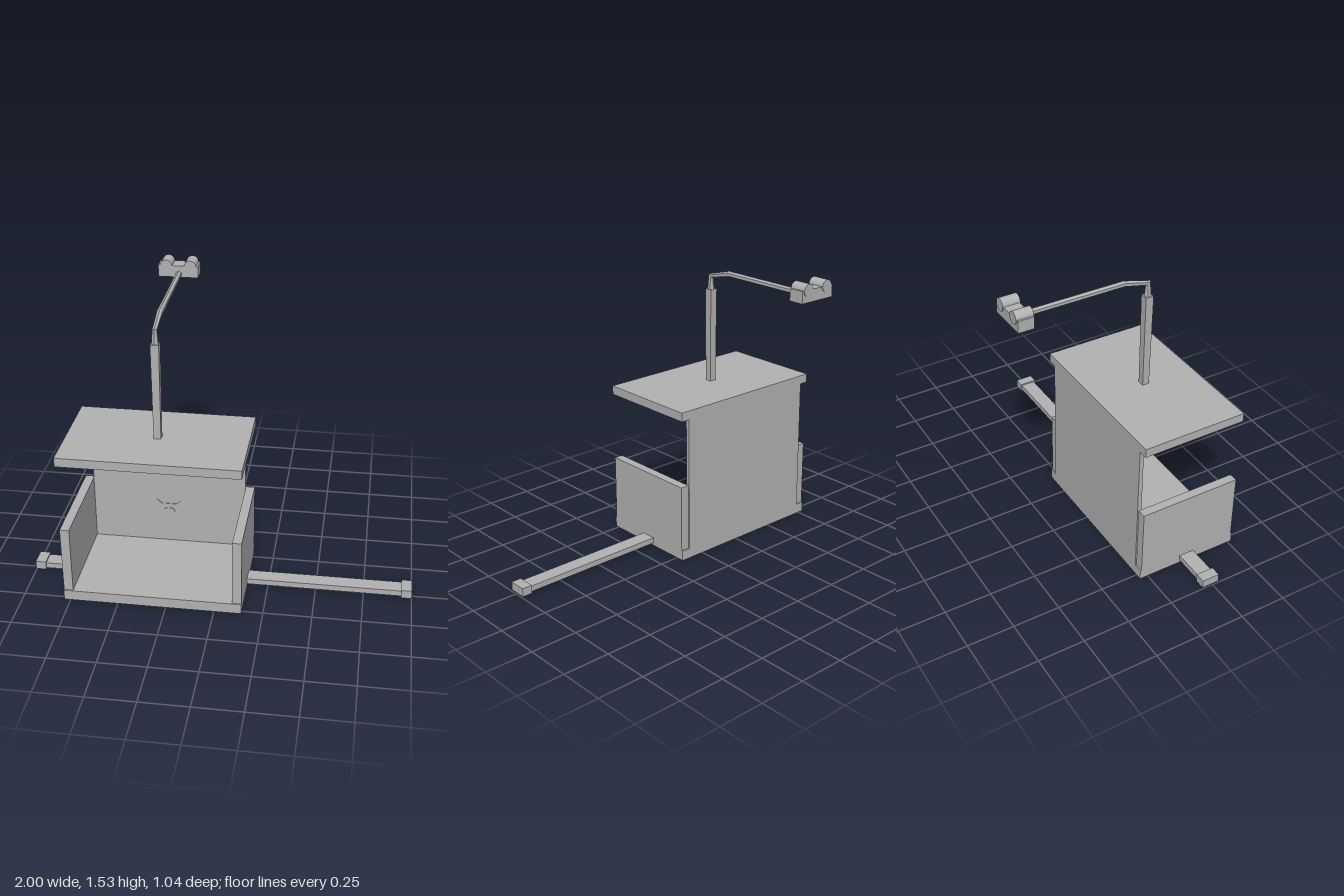
import * as THREE from 'three';

export function createModel() {
  const model = new THREE.Group();
  const CX = -0.32; // centre line of the cabin
  const grey = new THREE.MeshStandardMaterial({ color: 0xb2b2b2 });
  grey.name = 'plain grey';

  const add = (name, geometry) => {
    const mesh = new THREE.Mesh(geometry, grey);
    mesh.name = name;
    model.add(mesh);
    return mesh;
  };
  // box given by its limits on each axis
  const box = (name, [x0, x1], [y0, y1], [z0, z1]) => {
    const mesh = add(name, new THREE.BoxGeometry(x1 - x0, y1 - y0, z1 - z0));
    mesh.position.set((x0 + x1) / 2, (y0 + y1) / 2, (z0 + z1) / 2);
    return mesh;
  };

  // cabin panels
  box('floor', [-0.783, 0.141], [0, 0.056], [-0.045, 0.521]);
  box('backWall', [-0.735, 0.093], [0.056, 0.792], [-0.045, -0.023]);
  box('rightSideWall', [-0.783, -0.735], [0.056, 0.42], [-0.038, 0.515]);
  box('leftSideWall', [0.093, 0.141], [0.056, 0.42], [-0.038, 0.515]);
  box('roof', [-0.783, 0.141], [0.79, 0.838], [-0.045, 0.521]);

  // cross bar passing through the floor, with end caps
  box('crossBar', [-0.95, 0.95], [0.015, 0.046], [0.195, 0.277]);
  box('rightBarCap', [-1, -0.945], [0.009, 0.055], [0.188, 0.284]);
  box('leftBarCap', [0.945, 1], [0.009, 0.055], [0.188, 0.284]);

  // square mast, slightly wider at the top
  const mast = new THREE.CylinderGeometry(0.0215 * Math.SQRT2, 0.0185 * Math.SQRT2, 0.52, 4);
  mast.rotateY(Math.PI / 4);
  const mastMesh = add('mast', mast.toNonIndexed());
  mastMesh.geometry.computeVertexNormals();
  mastMesh.position.set(CX, 1.09, 0.24);

  // bent arm: mitred six-sided rings along a path of [z, y, radius]
  const path = [[0.24, 1.345, 0.02], [0.24, 1.42, 0.013], [0.1, 1.455, 0.016], [-0.44, 1.455, 0.016]];
  const sides = 6;
  const points = [];
  const index = [];
  path.forEach(([z, y, r], i) => {
    const p = path[Math.max(i - 1, 0)];
    const n = path[Math.min(i + 1, path.length - 1)];
    const d1 = new THREE.Vector2(z - p[0], y - p[1]).normalize();
    const d2 = new THREE.Vector2(n[0] - z, n[1] - y).normalize();
    const t = d1.clone().add(d2).normalize();
    const stretch = i > 0 && i < path.length - 1 ? 1 / t.dot(d1) : 1;
    for (let j = 0; j < sides; j++) {
      const a = (j / sides) * Math.PI * 2 + Math.PI / 6;
      const s = Math.sin(a) * r * stretch;
      points.push(CX + Math.cos(a) * r, y - t.x * s, z + t.y * s);
      if (i < path.length - 1) {
        const k = (j + 1) % sides;
        const a0 = i * sides + j, a1 = i * sides + k;
        index.push(a0, a0 + sides, a1 + sides, a0, a1 + sides, a1);
      }
    }
  });
  let arm = new THREE.BufferGeometry();
  arm.setAttribute('position', new THREE.Float32BufferAttribute(points, 3));
  arm.setIndex(index);
  arm = arm.toNonIndexed();
  arm.computeVertexNormals();
  add('bentArm', arm);

  // block at the end of the arm, with two rollers
  box('armBlock', [-0.429, -0.217], [1.438, 1.5], [-0.515, -0.432]);
  for (const side of [-1, 1]) {
    const roller = add('roller', new THREE.CylinderGeometry(0.032, 0.032, 0.09, 24));
    roller.rotation.x = Math.PI / 2;
    roller.position.set(-0.323 + side * 0.064, 1.499, -0.474);
  }

  // thin animal-face plaque on the inside of the back wall
  const half = [[0.04, 0.29], [0.068, 0.315], [0.066, 0.27], [0.045, 0.225], [0.022, 0.205]];
  const outline = [...half, ...half.map(([x, y]) => [-x, y]).reverse()];
  const face = new THREE.Shape(outline.map(([x, y]) => new THREE.Vector2(x, y)));
  const plaque = add('facePlaque', new THREE.ExtrudeGeometry(face, { depth: 0.004, bevelEnabled: false }));
  plaque.position.set(CX - 0.003, 0, -0.024);
  const nose = add('plaqueNose', new THREE.CylinderGeometry(0.03, 0.03, 0.004, 20));
  nose.rotation.x = Math.PI / 2;
  nose.scale.z = 0.7;
  nose.position.set(CX - 0.003, 0.245, -0.018);

  return model;
}
